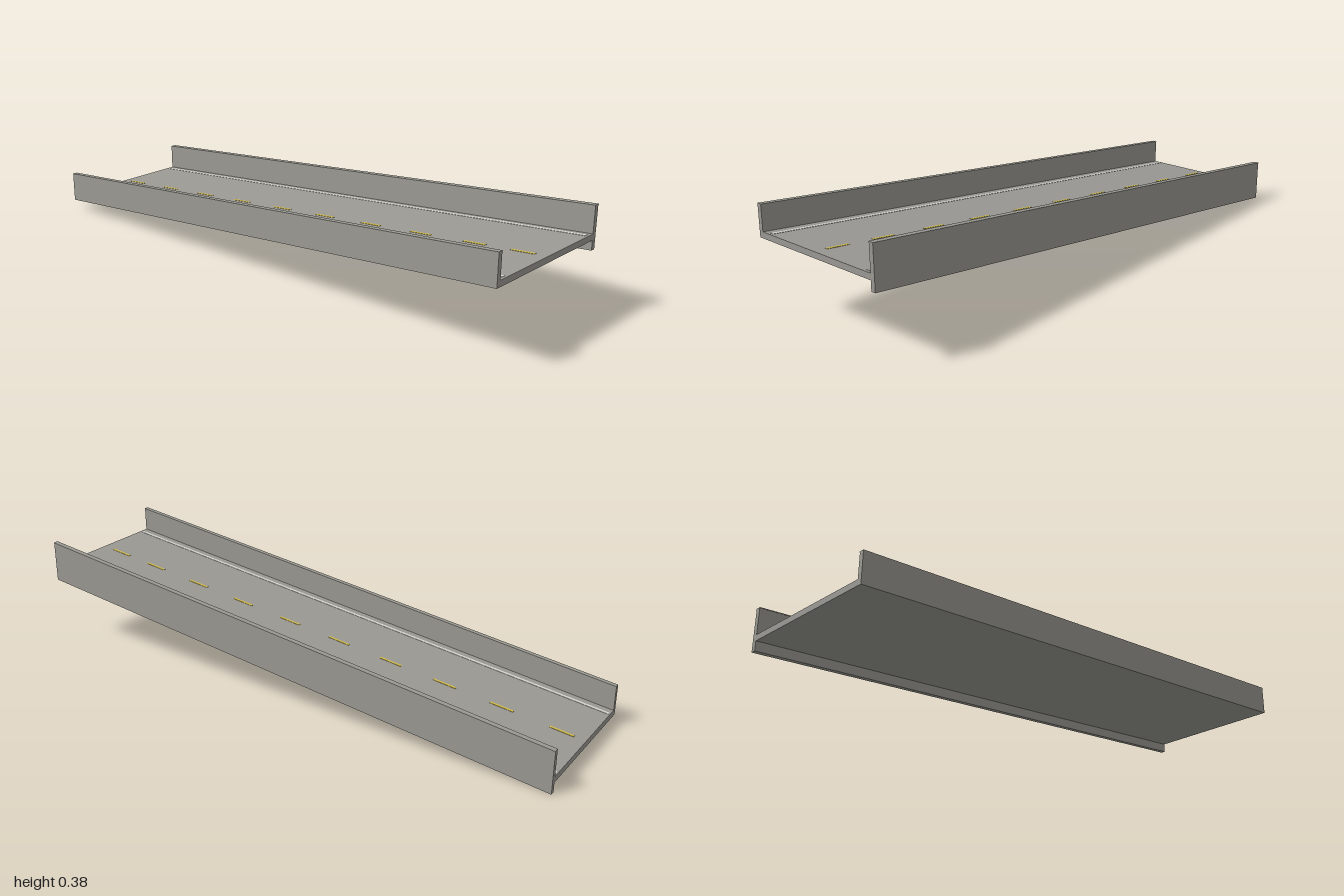
import * as THREE from 'three';

const RISE = 0.1185; // height gained per unit of x

export function createModel() {
  const group = new THREE.Group();
  group.name = 'rampRoad';
  const material = (name, color) => {
    const m = new THREE.MeshStandardMaterial({ color });
    m.name = name;
    return m;
  };
  const concrete = material('concrete', 0x9b9a93);
  const asphalt = material('asphalt', 0x9b9a95);
  const white = material('edge paint', 0xd6d6d0);
  const yellow = material('centre paint', 0xd2bc4a);

  // Box between two corners, sheared so that it climbs along x with upright ends
  function slopedBox(name, mat, [x0, x1], [y0, y1], [z0, z1]) {
    const geo = new THREE.BoxGeometry(x1 - x0, y1 - y0, z1 - z0);
    geo.translate((x0 + x1) / 2, (y0 + y1) / 2, (z0 + z1) / 2);
    const p = geo.attributes.position;
    for (let i = 0; i < p.count; i++) p.setY(i, p.getY(i) + RISE * p.getX(i));
    geo.computeVertexNormals();
    const mesh = new THREE.Mesh(geo, mat);
    mesh.name = name;
    group.add(mesh);
  }

  const full = [-1, 1];
  const top = 0.173; // deck surface height at x = 0

  // Deck slab
  slopedBox('deck', asphalt, full, [0.152, top], [-0.241, 0.2445]);

  // Parapets with slim caps; the back one hangs below the deck
  slopedBox('frontParapet', concrete, full, [0.152, 0.258], [0.2445, 0.26]);
  slopedBox('frontCap', concrete, full, [0.258, 0.261], [0.243, 0.26]);
  slopedBox('backParapet', concrete, full, [0.1185, 0.263], [-0.257, -0.241]);
  slopedBox('backCap', concrete, full, [0.263, 0.266], [-0.259, -0.24]);

  // Painted edge lines
  for (const z of [-0.219, 0.214]) {
    slopedBox('edgeLine', white, [-0.995, 0.99], [top, top + 0.001], [z - 0.006, z + 0.006]);
  }

  // Dashed centre line, the last dash sitting slightly closer
  for (let i = 0; i < 10; i++) {
    const x = i < 9 ? -0.96 + i * 0.2075 : 0.873;
    slopedBox('centreDash', yellow, [x, x + 0.083], [top, top + 0.001], [0, 0.01]);
  }

  return group;
}
